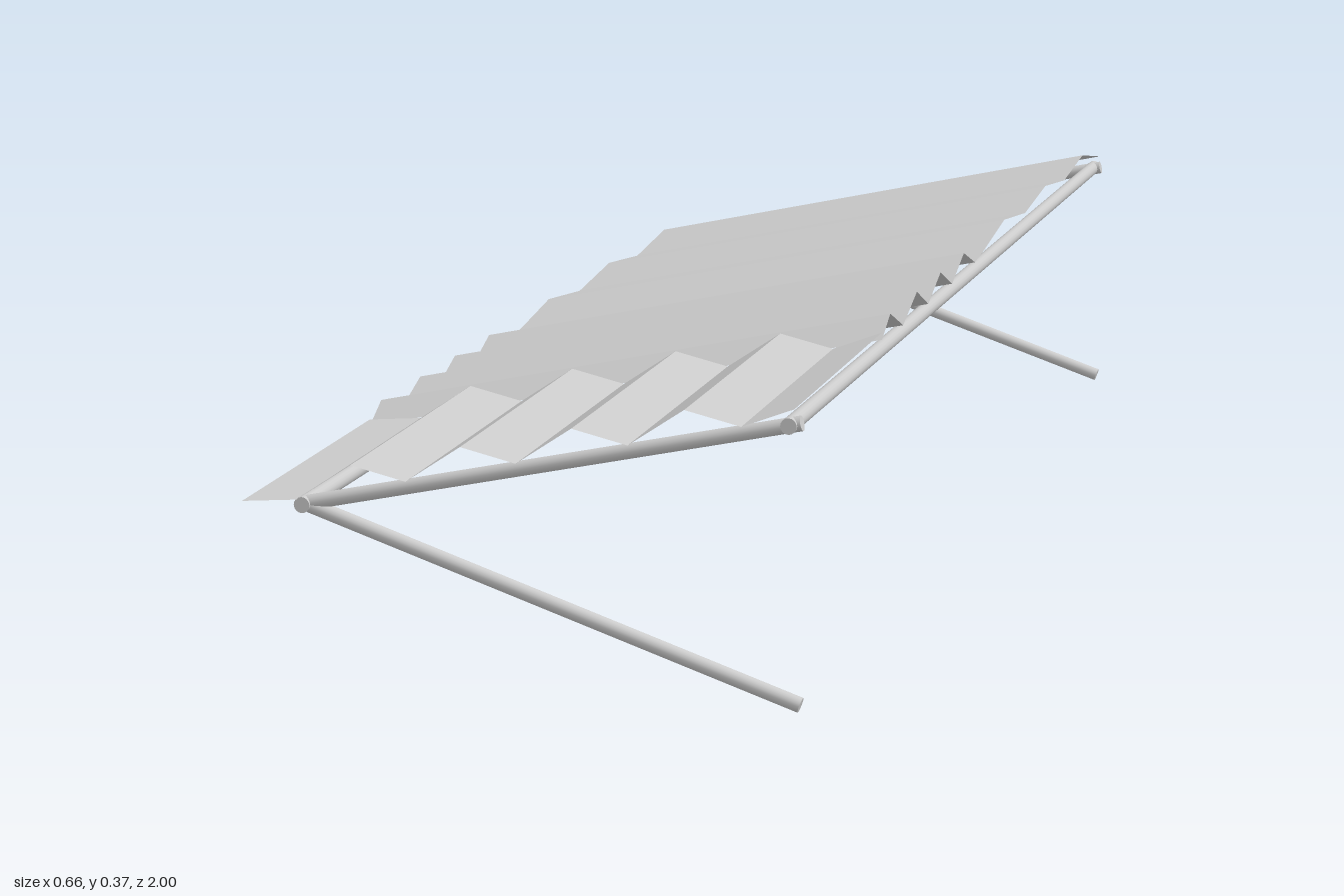
import * as THREE from 'three';

const X0 = -0.333, X1 = 0.323, SLOPE = 0.215;
const roofY = (x) => 0.202 + SLOPE * (x - X0); // sloping plane the sheets rest on

const steel = new THREE.MeshStandardMaterial({ color: 0xcccccc });
const sheetMaterial = new THREE.MeshStandardMaterial({ color: 0xcccccc, side: THREE.DoubleSide, flatShading: true });

// Thin folded sheet ruled between two edge polylines
function foldedSheet(name, edgeA, edgeB) {
  const pos = [];
  for (let i = 0; i < edgeA.length - 1; i++) {
    const a = edgeA[i], a2 = edgeA[i + 1], b = edgeB[i], b2 = edgeB[i + 1];
    for (const p of [a, a2, b2, a, b2, b]) pos.push(...p);
  }
  const geo = new THREE.BufferGeometry();
  geo.setAttribute('position', new THREE.Float32BufferAttribute(pos, 3));
  geo.computeVertexNormals();
  const mesh = new THREE.Mesh(geo, sheetMaterial);
  mesh.name = name;
  return mesh;
}

// Round rod between two points
function rod(name, from, to, radius = 0.009) {
  const a = new THREE.Vector3(...from), b = new THREE.Vector3(...to);
  const dir = b.clone().sub(a);
  const mesh = new THREE.Mesh(new THREE.CylinderGeometry(radius, radius, dir.length(), 16), steel);
  mesh.position.copy(a).add(b).multiplyScalar(0.5);
  mesh.quaternion.setFromUnitVectors(new THREE.Vector3(0, 1, 0), dir.normalize());
  mesh.name = name;
  return mesh;
}

export function createModel() {
  const group = new THREE.Group();
  group.name = 'awning';

  // Main roof sheet: folds run across, wide pleats at the back, narrow ones in front [z, lift]
  const pleats = [
    [-1, 0.006], [-0.845, 0.03], [-0.69, 0.015], [-0.535, 0.03], [-0.38, 0.015], [-0.225, 0.03],
    [-0.15, 0.02], [-0.08, 0.011], [-0.02, 0.005], [0.055, 0.03], [0.13, 0.002], [0.205, 0.03],
    [0.28, 0.002], [0.35, 0.03], [0.43, 0.002], [0.505, 0.03], [0.55, 0.006],
  ];
  const crossEdge = (x) => pleats.map(([z, lift]) => [x, roofY(x) + lift, z]);
  group.add(foldedSheet('pleatedRoofSheet', crossEdge(X0), crossEdge(X1)));

  // End roof sheet: corrugations run along z
  const ridges = [[X0, 0.01]];
  for (let i = 0; i < 9; i++) ridges.push([-0.266 + i * 0.066, i % 2 ? 0.031 : 0.001]);
  ridges.push([X1, 0.011]);
  const longEdge = (z, extra) => ridges.map(([x, lift]) => [x, roofY(x) + lift + extra, z]);
  group.add(foldedSheet('corrugatedEndSheet', longEdge(1, 0), longEdge(0.55, 0.004)));

  // Frame rails along the whole length
  group.add(rod('lowRail', [-0.262, 0.21, -0.995], [-0.262, 0.21, 0.995], 0.0095));
  group.add(rod('highRail', [0.315, 0.333, -0.995], [0.315, 0.333, 0.995], 0.0095));

  // Sloping end bars and bracing struts
  for (const [side, z] of [['front', 0.983], ['back', -0.98]]) {
    group.add(rod(side + 'EndBar', [-0.262, 0.21, z], [0.328, 0.335, z]));
    group.add(rod(side + 'Strut', [-0.262, 0.21, z], [0.327, 0.009, z]));
  }
  return group;
}
